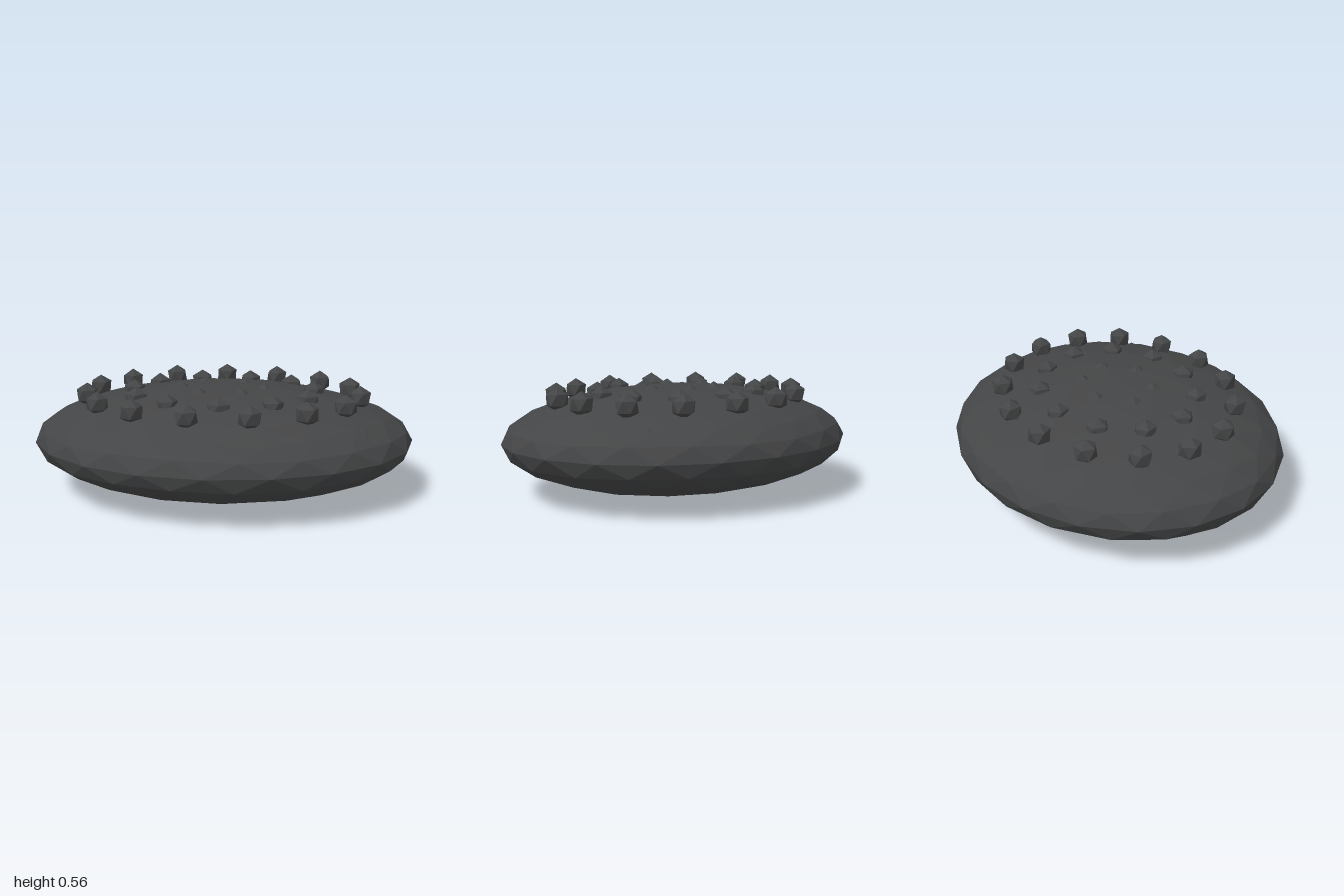
import * as THREE from 'three';

const material = new THREE.MeshStandardMaterial({ color: 0x444546, flatShading: true });

// Icosphere standing on a vertex, with an upper-ring vertex towards +x
function icosphere(radius, detail) {
  const geometry = new THREE.IcosahedronGeometry(radius, detail);
  geometry.rotateX(-Math.atan((1 + Math.sqrt(5)) / 2));
  geometry.rotateY(Math.PI / 2);
  return geometry;
}

export function createModel() {
  const model = new THREE.Group();
  model.name = 'studdedPebble';

  // Flattened oval body
  const bodyGeometry = icosphere(1, 3);
  bodyGeometry.scale(1, 0.271, 0.845);
  bodyGeometry.computeVertexNormals();
  const body = new THREE.Mesh(bodyGeometry, material);
  body.name = 'body';
  body.position.y = 0.272;
  model.add(body);

  const studGeometry = icosphere(0.0625, 0);
  const addStud = (parent, name, x, y, z, turn = 0) => {
    const stud = new THREE.Mesh(studGeometry, material);
    stud.name = name;
    stud.position.set(x, y, z);
    stud.rotation.y = turn;
    parent.add(stud);
  };

  // Three oval rings of studs, sunk deeper towards the crown
  const rings = [
    { name: 'outerStud', count: 15, rx: 0.72, rz: 0.585, phase: 3 },
    { name: 'middleStud', count: 11, rx: 0.485, rz: 0.395, phase: 22 },
    { name: 'innerStud', count: 6, rx: 0.22, rz: 0.18, phase: 0 },
  ];
  for (const { name, count, rx, rz, phase } of rings) {
    const ring = new THREE.Group();
    ring.name = name + 'Ring';
    for (let i = 0; i < count; i++) {
      const a = THREE.MathUtils.degToRad(phase + (i * 360) / count);
      addStud(ring, name, rx * Math.cos(a), 0.498, rz * Math.sin(a), -a);
    }
    model.add(ring);
  }

  // Two buried studs whose tips barely break the surface
  for (const side of [-1, 1]) addStud(model, 'buriedStud', 0.72, 0.357, side * 0.375);

  return model;
}
